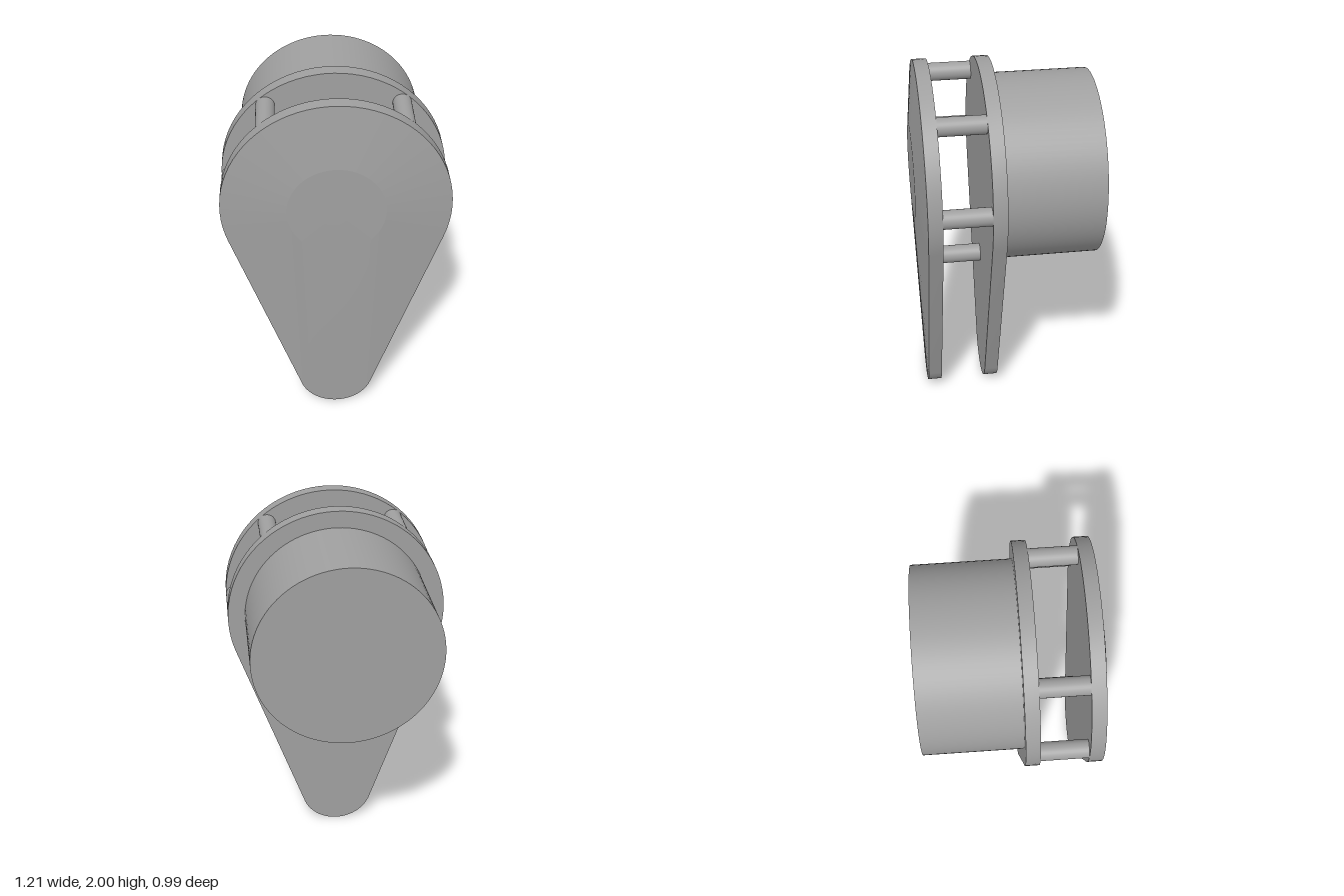
import * as THREE from 'three';
import { toCreasedNormals } from 'three/addons/utils/BufferGeometryUtils.js';

const HEAD_Y = 1.394, HEAD_R = 0.606; // large upper arc
const TIP_Y = 0.21, TIP_R = 0.21;     // small lower arc
const TOP_R = 0.26;                   // flat disc on the front cover

// Directions around the teardrop; each belongs to the upper or the lower arc
function outlineDirections(n = 48) {
  const tangent = -Math.asin((HEAD_R - TIP_R) / (HEAD_Y - TIP_Y));
  const list = [];
  const arc = (from, to, tip) => {
    for (let i = 0; i <= n; i++) list.push({ a: from + (to - from) * i / n, tip });
  };
  arc(tangent, Math.PI - tangent, false);
  arc(Math.PI - tangent, Math.PI * 2 + tangent, true);
  return list;
}

const teardrop = outlineDirections().map(({ a, tip }) => new THREE.Vector2(
  Math.cos(a) * (tip ? TIP_R : HEAD_R),
  (tip ? TIP_Y : HEAD_Y) + Math.sin(a) * (tip ? TIP_R : HEAD_R)));

// Flat teardrop plate between two depths
function plateGeometry(z0, z1) {
  const g = new THREE.ExtrudeGeometry(new THREE.Shape(teardrop), { depth: z1 - z0, bevelEnabled: false });
  g.translate(0, 0, z0);
  return toCreasedNormals(g, 0.5);
}

// Shallow cover sloping from the teardrop edge up to a round flat top
function coverGeometry(z0, z1) {
  const dirs = outlineDirections(), n = dirs.length;
  const pos = [], index = [];
  teardrop.forEach((p) => pos.push(p.x, p.y, z0));
  dirs.forEach(({ a }) => pos.push(Math.cos(a) * TOP_R, HEAD_Y + Math.sin(a) * TOP_R, z1));
  pos.push(0, HEAD_Y, z1);
  for (let i = 0; i < n; i++) {
    const j = (i + 1) % n;
    index.push(i, j, n + j, i, n + j, n + i, n + i, n + j, 2 * n);
  }
  const g = new THREE.BufferGeometry();
  g.setAttribute('position', new THREE.Float32BufferAttribute(pos, 3));
  g.setIndex(index);
  return toCreasedNormals(g, 0.05);
}

// Cylinder lying along z between two depths
function rodGeometry(r, z0, z1, sides) {
  const g = new THREE.CylinderGeometry(r, r, z1 - z0, sides);
  g.rotateX(Math.PI / 2);
  g.translate(0, 0, (z0 + z1) / 2);
  return g;
}

export function createModel() {
  const model = new THREE.Group();
  model.name = 'teardropHousing';
  const grey = new THREE.MeshStandardMaterial({ color: 0xa0a0a0 });
  grey.name = 'grey';

  const add = (name, geometry, x = 0, y = 0) => {
    const mesh = new THREE.Mesh(geometry, grey);
    mesh.name = name;
    mesh.position.set(x, y, 0);
    model.add(mesh);
  };

  // Two plates, the raised front cover and the rear drum
  add('backPlate', plateGeometry(0.045, 0.122));
  add('frontPlate', plateGeometry(0.378, 0.455));
  add('frontCover', coverGeometry(0.455, 0.495));
  add('drum', rodGeometry(0.512, -0.495, 0.045, 96), 0, HEAD_Y);

  // Spacer posts around the head
  const post = rodGeometry(0.05, 0.122, 0.378, 32);
  [0, 50, 130, 180, 270].forEach((deg, i) => {
    const a = THREE.MathUtils.degToRad(deg), r = HEAD_R - 0.05;
    add(`spacerPost${i + 1}`, post, Math.cos(a) * r, HEAD_Y + Math.sin(a) * r);
  });

  return model;
}
